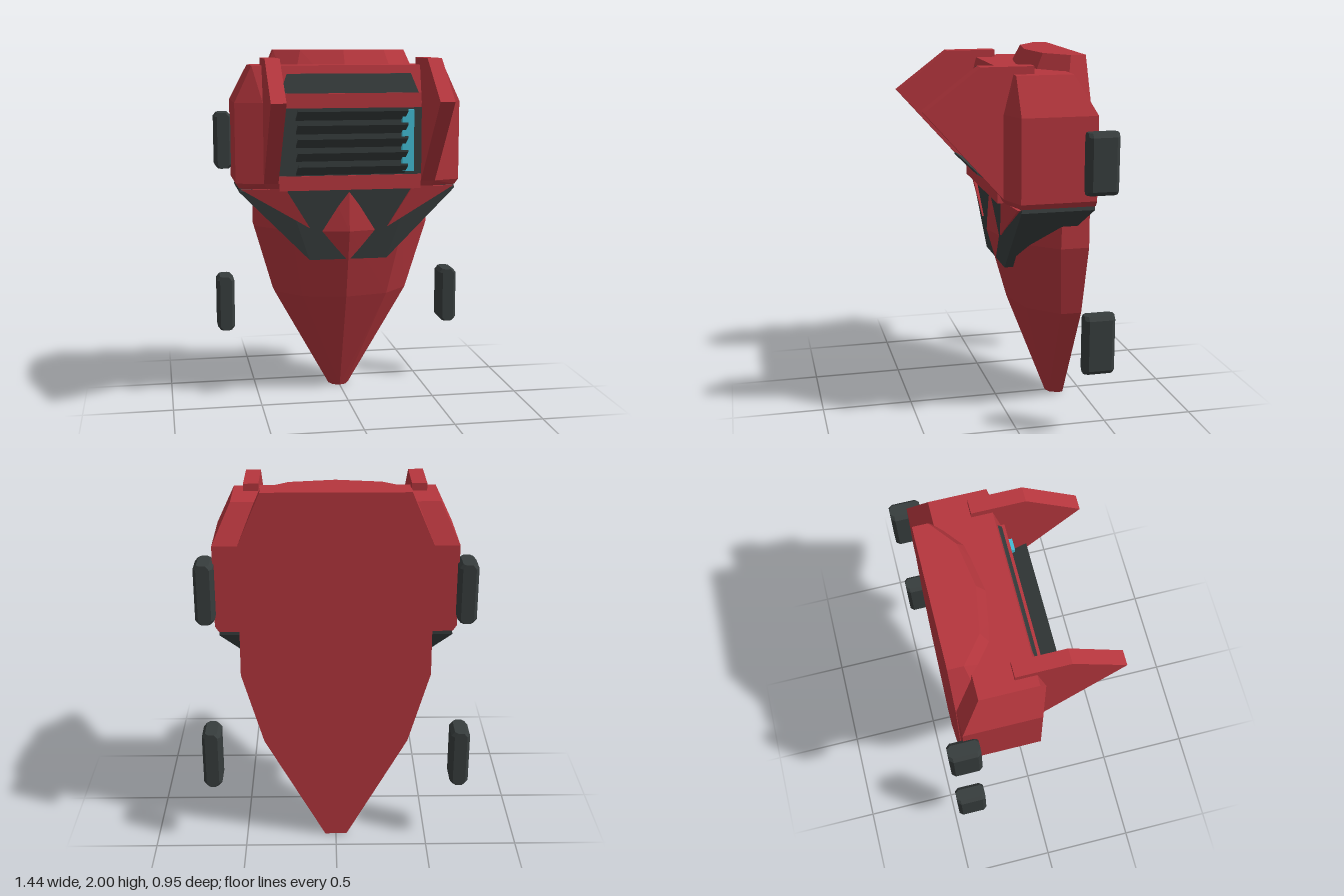
import * as THREE from 'three';
import { ConvexGeometry } from 'three/addons/geometries/ConvexGeometry.js';

const mat = (name, color) => {
  const m = new THREE.MeshStandardMaterial({ color });
  m.name = name;
  return m;
};

export function createModel() {
  const group = new THREE.Group();
  const red = mat('red', 0xb5363d);
  const dark = mat('darkGrey', 0x373d3d);
  const cyan = mat('cyan', 0x42bcd4);

  const add = (name, geometry, material) => {
    const mesh = new THREE.Mesh(geometry, material);
    mesh.name = name;
    group.add(mesh);
    return mesh;
  };
  // Faceted solid around a few corner points
  const solid = (pts) => new ConvexGeometry(pts.map((p) => new THREE.Vector3(...p)));
  // Solid mirrored across x = 0
  const mirrored = (pts) => solid([...pts, ...pts.map(([x, y, z]) => [-x, y, z])]);
  const box = (name, material, x0, x1, y0, y1, z0, z1) => {
    const m = add(name, new THREE.BoxGeometry(x1 - x0, y1 - y0, z1 - z0), material);
    m.position.set((x0 + x1) / 2, (y0 + y1) / 2, (z0 + z1) / 2);
    return m;
  };

  // Long pointed hull with a flat back: [y, half width, front z]
  const back = -0.39;
  const hull = [];
  for (const [y, w, front] of [
    [0, 0.06, -0.3], [0.6, 0.39, -0.065], [1.0, 0.505, 0.05], [1.72, 0.5, 0], [2, 0.38, -0.16],
  ]) {
    const d = front - back;
    hull.push([w, y, back], [w, y, back + d * 0.35], [w * 0.63, y, back + d * 0.83], [0, y, front]);
  }
  add('hull', mirrored(hull), red);

  // Broad chest block with bevelled corners
  const rear = -0.386;
  add('chestBlock', mirrored([
    [0.535, 1.92, 0.02], [0.535, 1.92, -0.28],
    [0.63, 1.72, 0.015], [0.63, 1.72, rear], [0.48, 1.72, 0.07],
    [0.63, 1.28, 0.015], [0.63, 1.28, rear], [0.48, 1.28, 0.07],
    [0.61, 1.25, 0.005], [0.61, 1.25, rear], [0.46, 1.25, 0.055],
  ]), red);

  // Dark collar under the chest; the hull ridge shows through it as a diamond
  add('collar', mirrored([
    [0.605, 1.26, 0.0], [0.605, 1.26, rear + 0.003],
    [0.61, 1.23, 0.008], [0.61, 1.23, rear + 0.003],
    [0.36, 1.25, 0.037], [0.22, 0.835, 0], [0.22, 0.835, -0.165],
  ]), dark);

  // Bumper, radiator surround and windscreen
  box('lowerBar', red, -0.395, 0.395, 1.24, 1.32, 0, 0.082);
  box('upperBar', red, -0.395, 0.395, 1.69, 1.77, 0, 0.078);
  box('grillePanel', dark, -0.4, 0.4, 1.32, 1.69, 0.04, 0.074);
  add('windscreen', mirrored([
    [0.345, 1.875, 0.036], [0.385, 1.77, 0.0625],
    [0.345, 1.875, 0.028], [0.385, 1.77, 0.0545],
  ]), dark);

  // Louvres leaning outward at the top
  for (let i = 0; i < 5; i++) {
    const t = 1.688 - i * 0.0745;
    add('louvre', mirrored([
      [0.303, t, 0.17], [0.303, t - 0.012, 0.17],
      [0.303, t - 0.055, 0.07], [0.303, t - 0.067, 0.07],
    ]), dark);
  }
  box('lightStrip', cyan, 0.285, 0.35, 1.34, 1.68, 0.07, 0.107);

  // Fin profile, drawn with shape x = z and shape y = y
  const finShape = new THREE.Shape([
    [-0.09, 1.96], [-0.09, 1.28], [0.07, 1.28], [0.48, 1.74], [0.19, 1.96],
  ].map(([z, y]) => new THREE.Vector2(z, y)));
  const finGeometry = new THREE.ExtrudeGeometry(finShape, { depth: 0.08, bevelEnabled: false });
  finGeometry.rotateY(-Math.PI / 2); // shape x -> +z, depth -> -x

  // Bevelled wheel block, centred on the origin
  const wheelPoints = [];
  for (const [z, w] of [[-0.081, 0.034], [-0.062, 0.05], [0.062, 0.05], [0.081, 0.034]]) {
    for (const s of [-1, 1]) wheelPoints.push([w, s * 0.138, z], [w - 0.018, s * 0.16, z]);
  }
  const wheelGeometry = mirrored(wheelPoints);

  for (const s of [1, -1]) {
    const side = s > 0 ? 'left' : 'right';
    add(side + 'Fin', finGeometry, red).position.x = s > 0 ? 0.48 : -0.4;

    // Red wedge between collar arm and centre
    add(side + 'Wedge', solid([
      [0.36, 1.25, 0.056], [0.22, 1.02, 0.026], [0.6, 1.245, 0.024],
      [0.36, 1.25, 0.0], [0.22, 1.02, 0.0], [0.6, 1.245, -0.02],
    ].map(([x, y, z]) => [s * x, y, z])), red);

    for (const [name, y] of [['UpperWheel', 1.485], ['LowerWheel', 0.525]]) {
      add(side + name, wheelGeometry, dark).position.set(s * 0.672, y, -0.394);
    }
  }
  return group;
}
